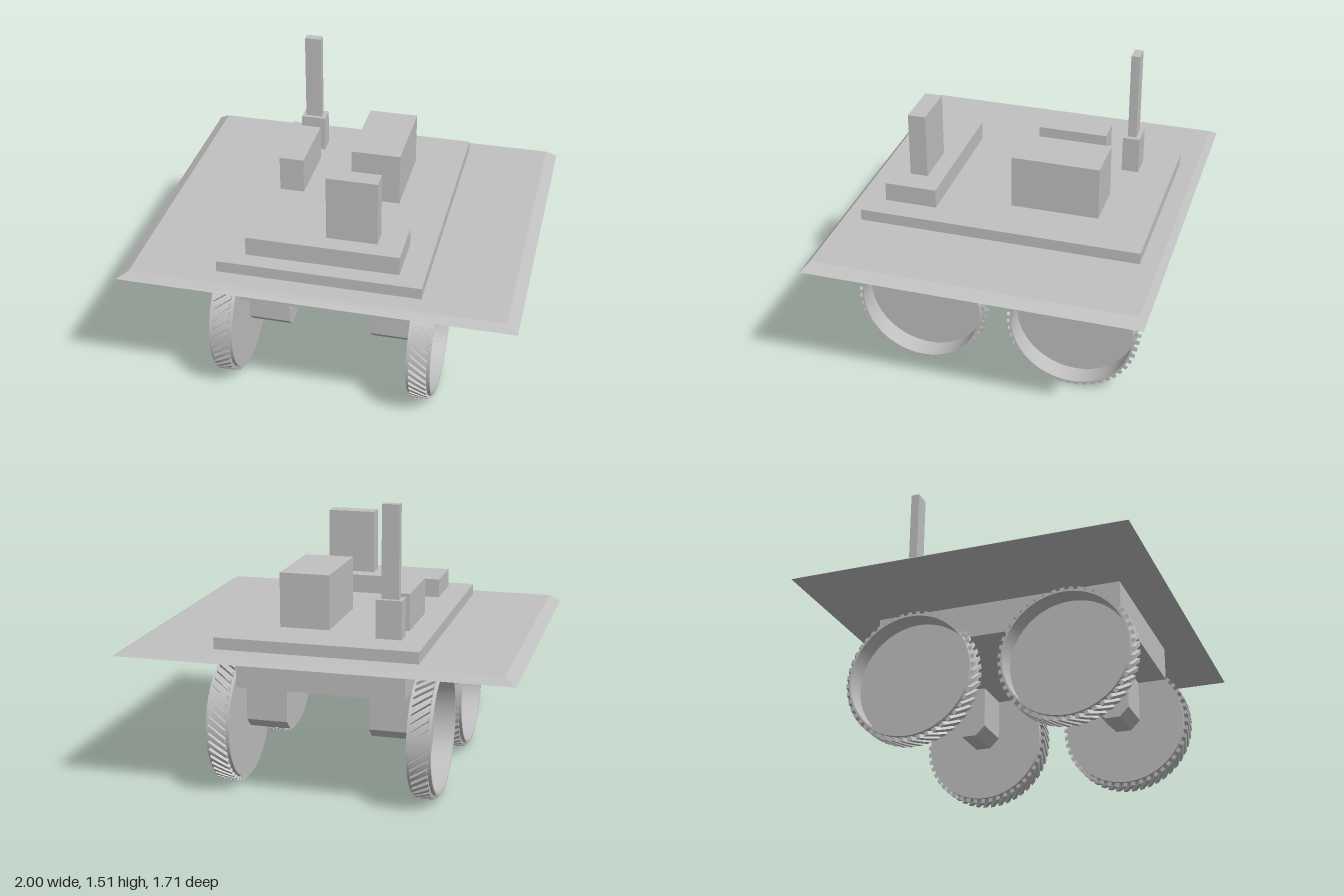
import * as THREE from 'three';
import { mergeGeometries, toCreasedNormals } from 'three/addons/utils/BufferGeometryUtils.js';

const grey = new THREE.MeshStandardMaterial({ color: 0xc0c0c0 });
grey.name = 'plainGrey';

function add(parent, name, geometry) {
  const mesh = new THREE.Mesh(geometry, grey);
  mesh.name = name;
  parent.add(mesh);
  return mesh;
}

// Box given by its limits on each axis
function block(parent, name, [x0, x1], [y0, y1], [z0, z1]) {
  const g = new THREE.BoxGeometry(x1 - x0, y1 - y0, z1 - z0);
  g.translate((x0 + x1) / 2, (y0 + y1) / 2, (z0 + z1) / 2);
  return add(parent, name, g);
}

// Deck with sloping edges: a box whose top corners are pulled inwards
function deckGeometry() {
  const g = new THREE.BoxGeometry(2, 0.037, 1.714);
  const p = g.attributes.position;
  for (let i = 0; i < p.count; i++) {
    if (p.getY(i) > 0) {
      p.setX(i, Math.sign(p.getX(i)) * 0.942);
      p.setZ(i, Math.sign(p.getZ(i)) * 0.823);
    }
  }
  g.computeVertexNormals();
  return g.translate(0, 0.7685, 0);
}

// Motor housing: profile in z and y with chamfered lower corners, extruded along x
function motorGeometry() {
  const w = 0.09, c = 0.05, bottom = 0.305, top = 0.575;
  const s = new THREE.Shape([
    [-w + c, bottom], [w - c, bottom], [w, bottom + c],
    [w, top], [-w, top], [-w, bottom + c],
  ].map(([x, y]) => new THREE.Vector2(x, y)));
  const g = new THREE.ExtrudeGeometry(s, { depth: 0.215, bevelEnabled: false });
  return g.translate(0, 0, -0.1075).rotateY(Math.PI / 2);
}

const R = 0.325, TREAD = 0.346, HALF = 0.061;

// Cup-shaped wheel, open towards side * x
function rimGeometry(side) {
  const profile = [
    [0, -HALF], [R, -HALF], [R, HALF], [0.315, HALF], [0.315, -HALF + 0.012], [0, -HALF + 0.012],
  ].map(([r, y]) => new THREE.Vector2(r, y));
  const g = new THREE.LatheGeometry(profile, 72).rotateZ(-side * Math.PI / 2);
  return toCreasedNormals(g, 0.5);
}

// Slanted lugs wrapped round the rim
function treadGeometry(side) {
  const lugs = [], count = 48;
  const pitch = (Math.PI * 2) / count;
  for (let n = 0; n < count; n++) {
    const g = new THREE.BoxGeometry(0.09, 1, pitch * 0.5, 4, 1, 1);
    const p = g.attributes.position;
    for (let i = 0; i < p.count; i++) {
      const x = p.getX(i);
      const r = p.getY(i) > 0 ? TREAD : R - 0.004;
      const a = n * pitch - p.getZ(i) - side * x * 2.2;
      p.setXYZ(i, x, r * Math.sin(a), r * Math.cos(a));
    }
    const flat = g.toNonIndexed();
    flat.computeVertexNormals();
    lugs.push(flat);
  }
  return mergeGeometries(lugs);
}

export function createModel() {
  const model = new THREE.Group();
  model.name = 'rover';

  // Deck and chassis
  add(model, 'deck', deckGeometry());
  block(model, 'chassis', [-0.432, 0.432], [0.573, 0.755], [-0.648, 0.648]);
  block(model, 'upperPlate', [-0.517, 0.515], [0.785, 0.847], [-0.732, 0.728]);

  // Equipment on the upper plate
  block(model, 'frontBase', [-0.39, 0.388], [0.845, 0.947], [0.366, 0.638]);
  block(model, 'frontPanel', [0, 0.258], [0.945, 1.288], [0.455, 0.547]);
  block(model, 'largeBox', [0, 0.258], [0.845, 1.128], [-0.458, 0]);
  block(model, 'smallBox', [-0.39, -0.26], [0.845, 1.038], [-0.37, 0]);
  block(model, 'mastBase', [-0.39, -0.26], [0.845, 1.043], [-0.55, -0.46]);
  block(model, 'mast', [-0.37, -0.283], [1.04, 1.51], [-0.527, -0.482]);

  // Motors and wheels at the four corners
  const motor = motorGeometry();
  for (const side of [-1, 1]) {
    const rim = rimGeometry(side), tread = treadGeometry(side);
    const wheelX = side > 0 ? 0.508 : -0.518;
    for (const z of [-0.405, 0.405]) {
      const end = (z > 0 ? 'front' : 'back') + (side > 0 ? 'Left' : 'Right');
      add(model, end + 'Motor', motor).position.set(side * 0.3235, 0, z);
      const wheel = new THREE.Group();
      wheel.name = end + 'Wheel';
      wheel.position.set(wheelX, TREAD + 0.004, z);
      add(wheel, 'rim', rim);
      add(wheel, 'tread', tread);
      model.add(wheel);
    }
  }
  model.position.y = -0.004;
  return model;
}
